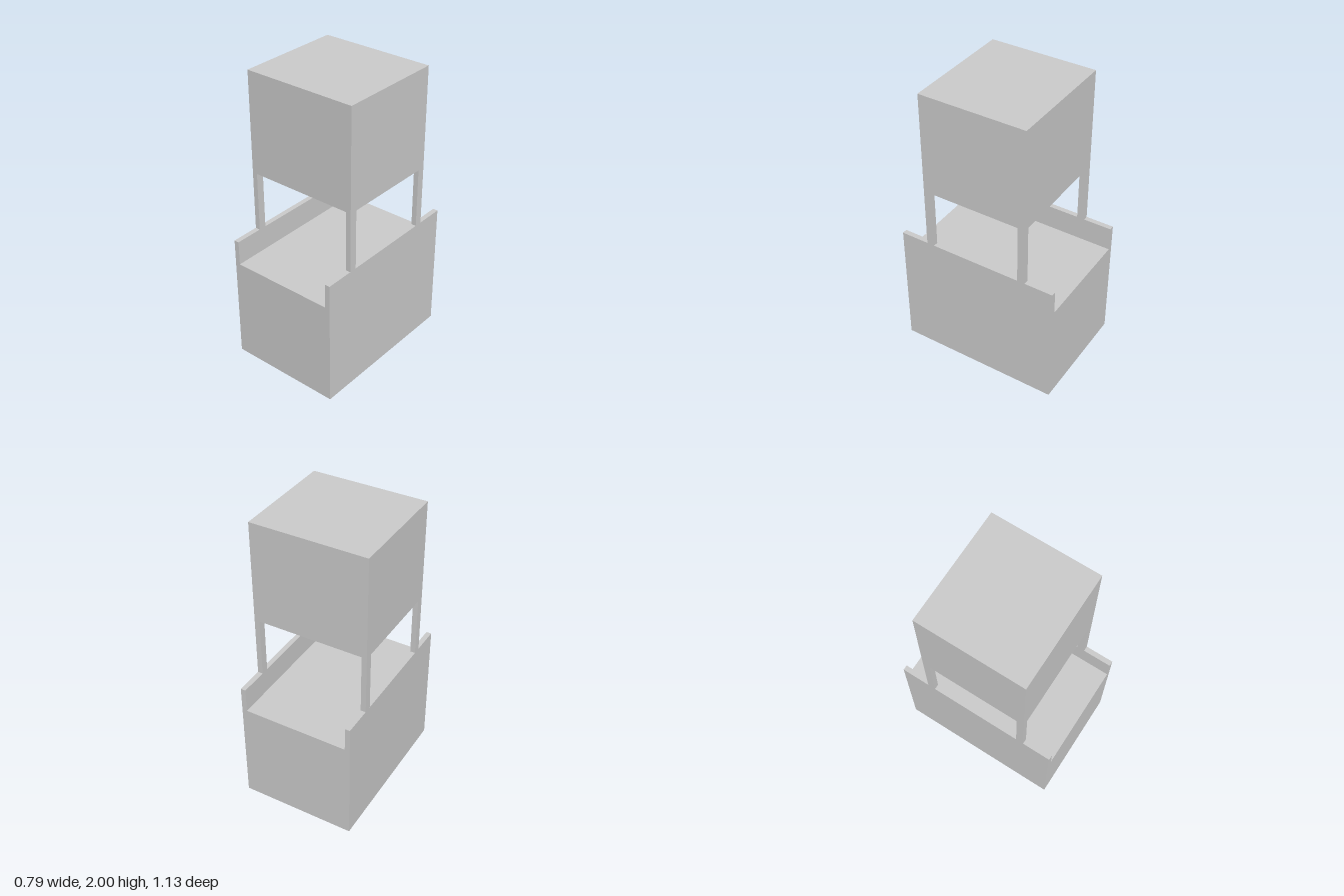
import * as THREE from 'three';

const W = 0.396;      // half width
const BASE_D = 0.565; // half depth of the base
const TOP_D = 0.368;  // half depth of the upper block
const T = 0.035;      // side wall and post thickness
const DECK = 0.72, RAIL = 0.89, SOFFIT = 1.305, TOP = 2;

export function createModel() {
  const group = new THREE.Group();
  const material = new THREE.MeshStandardMaterial({ color: 0xcccccc, flatShading: true });

  // Box given by its minimum and maximum corners
  const box = (name, [x0, y0, z0], [x1, y1, z1]) => {
    const mesh = new THREE.Mesh(new THREE.BoxGeometry(x1 - x0, y1 - y0, z1 - z0), material);
    mesh.position.set((x0 + x1) / 2, (y0 + y1) / 2, (z0 + z1) / 2);
    mesh.name = name;
    group.add(mesh);
  };

  // Solid base with an open deck, and the block carried above it
  box('base', [-W, 0, -BASE_D], [W, DECK, BASE_D]);
  box('upperBlock', [-W, SOFFIT, -TOP_D], [W, TOP, TOP_D]);

  // Low side walls along the deck, each carrying a front and a back post
  const postDepth = 0.053;
  for (const [side, x] of [['left', W - T], ['right', -W]]) {
    box(`${side}SideWall`, [x, DECK, -BASE_D], [x + T, RAIL, BASE_D]);
    for (const [end, z] of [['Front', TOP_D - postDepth], ['Back', -TOP_D]]) {
      box(`${side}${end}Post`, [x, RAIL, z], [x + T, SOFFIT, z + postDepth]);
    }
  }
  return group;
}
